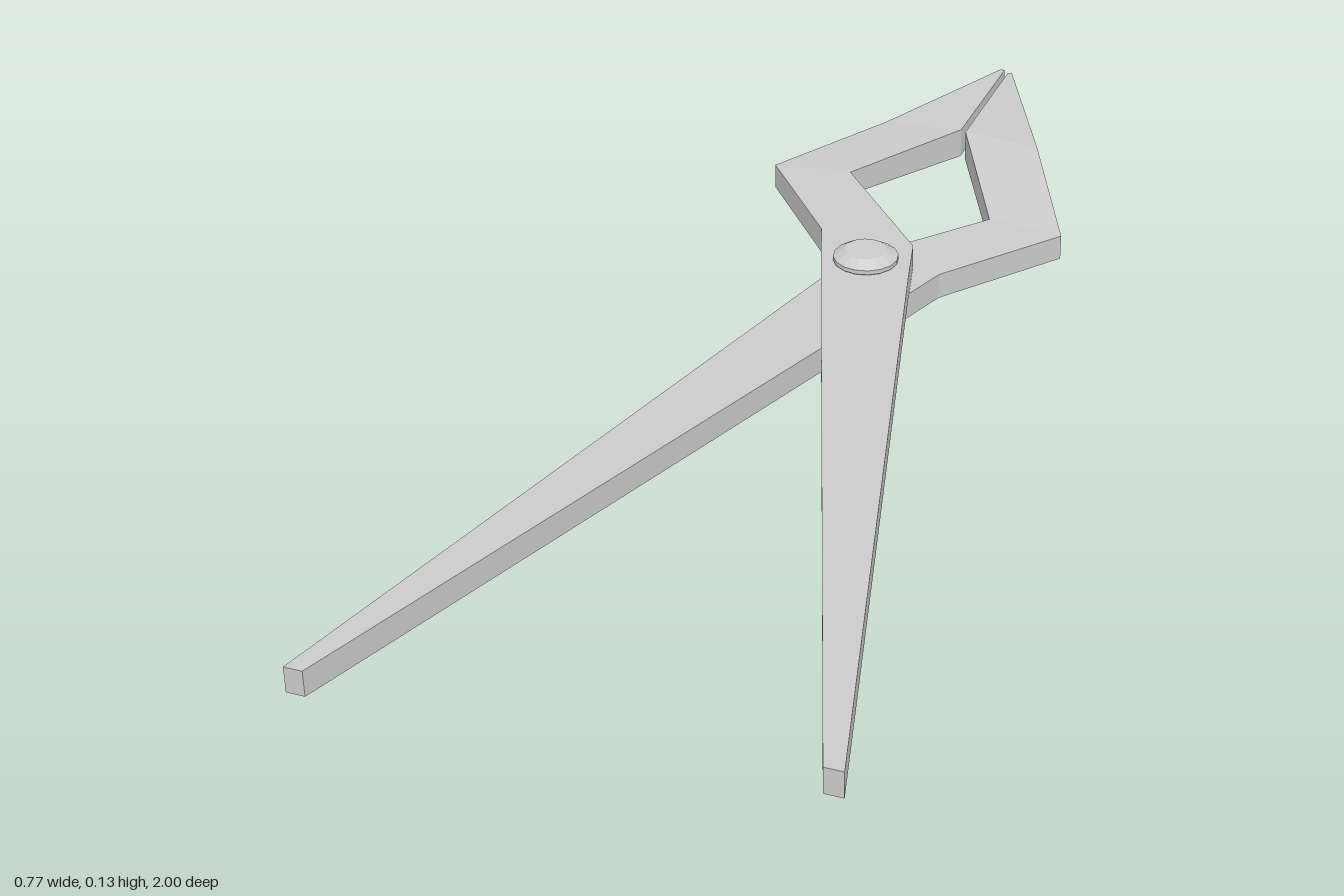
import * as THREE from 'three';

const PIVOT_Z = -0.207;
const MID_Y = 0.069;

// Cross-sections from handle end to jaw tip:
// [outer jaw side x, z, inner jaw side x, z, bottom y, top y]
const SECTIONS = [
  [0.355, 1.0, 0.383, 1.0, 0.066, 0.107],
  [-0.073, -0.2, 0.08, -0.18, 0.07, 0.113],
  [-0.1, -0.28, 0.057, -0.275, 0.071, 0.114],
  [-0.25, -0.47, -0.122, -0.487, 0.071, 0.113],
  [-0.137, -0.72, -0.004, -0.735, 0.045, 0.096],
  [-0.011, -1.0, -0.003, -1.0, 0.05, 0.093],
];

// One arm: four-cornered sections joined into a solid bar
function armGeometry() {
  const pos = [];
  const index = [];
  for (const [ax, az, bx, bz, y0, y1] of SECTIONS) {
    pos.push(ax, y0 - MID_Y, az, bx, y0 - MID_Y, bz, bx, y1 - MID_Y, bz, ax, y1 - MID_Y, az);
  }
  const last = (SECTIONS.length - 1) * 4;
  for (let r = 0; r < last; r += 4) {
    for (let i = 0; i < 4; i++) {
      const j = (i + 1) % 4;
      index.push(r + i, r + 4 + i, r + j, r + j, r + 4 + i, r + 4 + j);
    }
  }
  index.push(0, 1, 2, 0, 2, 3, last, last + 2, last + 1, last, last + 3, last + 2);
  const g = new THREE.BufferGeometry();
  g.setAttribute('position', new THREE.Float32BufferAttribute(pos, 3));
  g.setIndex(index);
  const flat = g.toNonIndexed();
  flat.computeVertexNormals();
  return flat;
}

export function createModel() {
  const group = new THREE.Group();
  const material = new THREE.MeshStandardMaterial({ color: 0xcccccc, flatShading: true });

  // Two identical arms, one turned over about the long axis
  const geometry = armGeometry();
  ['upperArm', 'lowerArm'].forEach((name, i) => {
    const arm = new THREE.Mesh(geometry, material);
    arm.name = name;
    arm.position.y = MID_Y;
    arm.rotation.z = i * Math.PI;
    group.add(arm);
  });

  // Pivot rivet with a bevelled head at each end
  const profile = [
    [0, 0], [0.034, 0], [0.052, 0.011], [0.052, 0.018], [0.044, 0.024],
    [0.044, 0.109], [0.052, 0.115], [0.052, 0.122], [0.034, 0.133], [0, 0.133],
  ].map(([r, y]) => new THREE.Vector2(r, y));
  const rivet = new THREE.Mesh(new THREE.LatheGeometry(profile, 16), material);
  rivet.name = 'pivotRivet';
  rivet.position.z = PIVOT_Z;
  group.add(rivet);

  return group;
}
